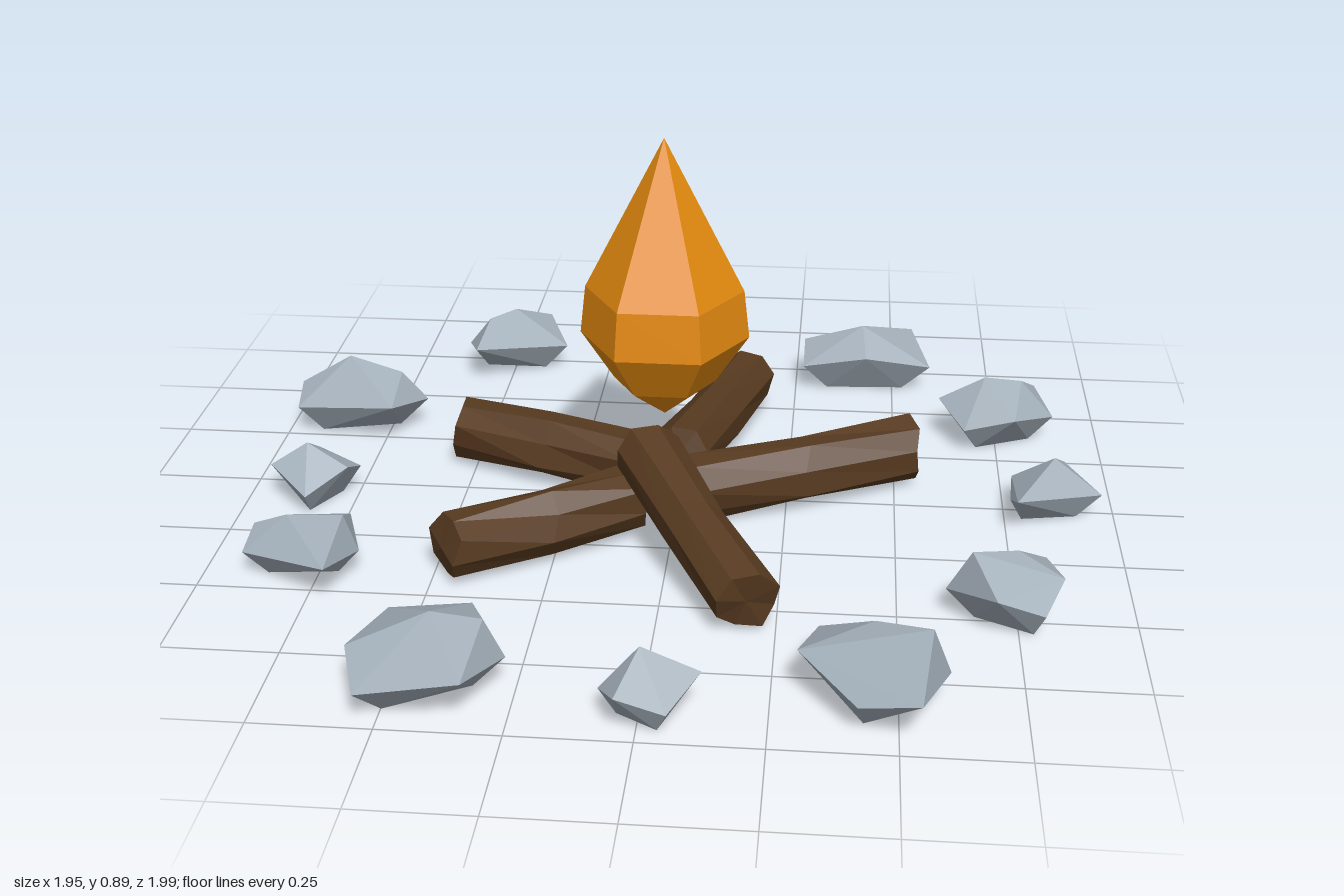
import * as THREE from 'three';
import { ConvexGeometry } from 'three/addons/geometries/ConvexGeometry.js';

const mat = (name, color) => {
  const m = new THREE.MeshStandardMaterial({ color, flatShading: true });
  m.name = name;
  return m;
};

export function createModel() {
  const stone = mat('stone grey', 0xa3afb9);
  const bark = mat('bark brown', 0x573a20);
  const fire = mat('flame orange', 0xe3890f);
  const model = new THREE.Group();
  model.name = 'campfire';

  const add = (parent, name, geometry, material) => {
    const mesh = new THREE.Mesh(geometry, material);
    mesh.name = name;
    parent.add(mesh);
    return mesh;
  };

  // Flame: six-sided teardrop floating over the logs
  const profile = [[0, 0.235], [0.115, 0.32], [0.19, 0.43], [0.178, 0.54], [0, 0.89]]
    .map(([r, y]) => new THREE.Vector2(r, y));
  const flame = add(model, 'flame', new THREE.LatheGeometry(profile, 6, Math.PI / 2), fire);
  flame.position.set(-0.03, 0, 0.037);

  // Logs: rough eight-sided cylinders from an outer end to an inner end
  const logs = new THREE.Group();
  logs.name = 'logs';
  model.add(logs);
  const log = (outer, inner, radius, seed) => {
    const a = new THREE.Vector3(...outer);
    const dir = new THREE.Vector3(...inner).sub(a);
    const length = dir.length();
    const geo = new THREE.CylinderGeometry(radius, radius * 0.97, length, 8, 2);
    const p = geo.attributes.position;
    for (let i = 0; i < p.count; i++) {
      const x = p.getX(i), y = p.getY(i), z = p.getZ(i);
      const s = 1 + 0.09 * Math.sin(x * 55 + z * 38 + y * 13 + seed * 2.3);
      const slant = 0.015 * Math.sin(x * 30 - z * 24 + seed);
      p.setXYZ(i, x * s, y + slant, z * s);
    }
    const mesh = add(logs, 'log', geo, bark);
    mesh.position.copy(a).addScaledVector(dir, 0.5);
    mesh.quaternion.setFromUnitVectors(new THREE.Vector3(0, 1, 0), dir.normalize());
  };
  log([0.13, 0.085, -0.51], [0.0, 0.11, 0.0], 0.072, 1);
  log([0.53, 0.085, -0.135], [0.02, 0.085, 0.12], 0.077, 2);
  log([0.19, 0.075, 0.59], [-0.06, 0.195, 0.16], 0.072, 3);
  log([-0.465, 0.083, 0.43], [-0.08, 0.09, 0.17], 0.073, 4);
  log([-0.53, 0.088, -0.155], [-0.09, 0.085, 0.0], 0.075, 5);

  // Rocks: faceted hull of a plan outline, a smaller base and a few peaks
  const rocks = new THREE.Group();
  rocks.name = 'rocks';
  model.add(rocks);
  const rock = (outline, peaks, mid = 0.08) => {
    const n = outline.length;
    const cx = outline.reduce((s, p) => s + p[0], 0) / n;
    const cz = outline.reduce((s, p) => s + p[1], 0) / n;
    const points = peaks.map((p) => new THREE.Vector3(...p));
    outline.forEach(([x, z], i) => {
      points.push(new THREE.Vector3(x, mid + (i % 2 ? 0.02 : -0.015), z));
      if (i % 2 === 0) {
        points.push(new THREE.Vector3(cx + (x - cx) * 0.6, 0.003, cz + (z - cz) * 0.6));
      }
    });
    add(rocks, 'rock', new ConvexGeometry(points), stone);
  };
  // back
  rock([[-0.11, -1], [0.06, -0.985], [0.05, -0.77], [-0.02, -0.71], [-0.17, -0.75], [-0.13, -0.88]],
    [[-0.05, 0.14, -0.91], [-0.04, 0.145, -0.77]], 0.075);
  rock([[0.42, -0.87], [0.55, -0.8], [0.595, -0.63], [0.43, -0.59], [0.27, -0.61], [0.27, -0.71]],
    [[0.42, 0.165, -0.68]], 0.09);
  // right-hand side of the plan
  rock([[0.69, -0.48], [0.85, -0.485], [0.89, -0.38], [0.79, -0.27], [0.67, -0.28], [0.61, -0.39]],
    [[0.72, 0.165, -0.38], [0.81, 0.15, -0.4]]);
  rock([[0.77, -0.06], [0.89, -0.075], [0.97, 0.02], [0.77, 0.14], [0.76, 0.06]],
    [[0.86, 0.14, 0.0]], 0.075);
  rock([[0.82, 0.33], [0.845, 0.48], [0.8, 0.58], [0.7, 0.59], [0.6, 0.48]],
    [[0.65, 0.165, 0.5], [0.75, 0.14, 0.44]]);
  // front
  rock([[0.34, 0.66], [0.5, 0.7], [0.6, 0.81], [0.54, 0.99], [0.42, 0.95], [0.3, 0.81]],
    [[0.56, 0.195, 0.86], [0.45, 0.16, 0.78]], 0.085);
  rock([[-0.01, 0.8], [0.12, 0.88], [0.06, 0.985], [-0.04, 0.99], [-0.08, 0.9]],
    [[0.0, 0.14, 0.88]], 0.07);
  rock([[-0.54, 0.665], [-0.36, 0.69], [-0.27, 0.83], [-0.33, 0.99], [-0.54, 0.99], [-0.58, 0.87]],
    [[-0.42, 0.16, 0.82], [-0.31, 0.16, 0.84]], 0.085);
  // left-hand side of the plan
  rock([[-0.84, 0.3], [-0.7, 0.32], [-0.66, 0.42], [-0.7, 0.57], [-0.91, 0.45], [-0.9, 0.38]],
    [[-0.69, 0.145, 0.42], [-0.82, 0.13, 0.4]], 0.075);
  rock([[-0.95, 0.03], [-0.85, 0.0], [-0.75, 0.02], [-0.76, 0.1], [-0.84, 0.19], [-0.94, 0.1]],
    [[-0.86, 0.14, 0.07]], 0.075);
  rock([[-0.92, -0.43], [-0.8, -0.44], [-0.66, -0.33], [-0.72, -0.19], [-0.97, -0.25], [-0.975, -0.33]],
    [[-0.85, 0.185, -0.33], [-0.72, 0.15, -0.32]], 0.09);
  rock([[-0.57, -0.83], [-0.42, -0.83], [-0.36, -0.7], [-0.58, -0.57], [-0.62, -0.7]],
    [[-0.5, 0.155, -0.74], [-0.56, 0.15, -0.68]], 0.085);

  return model;
}
